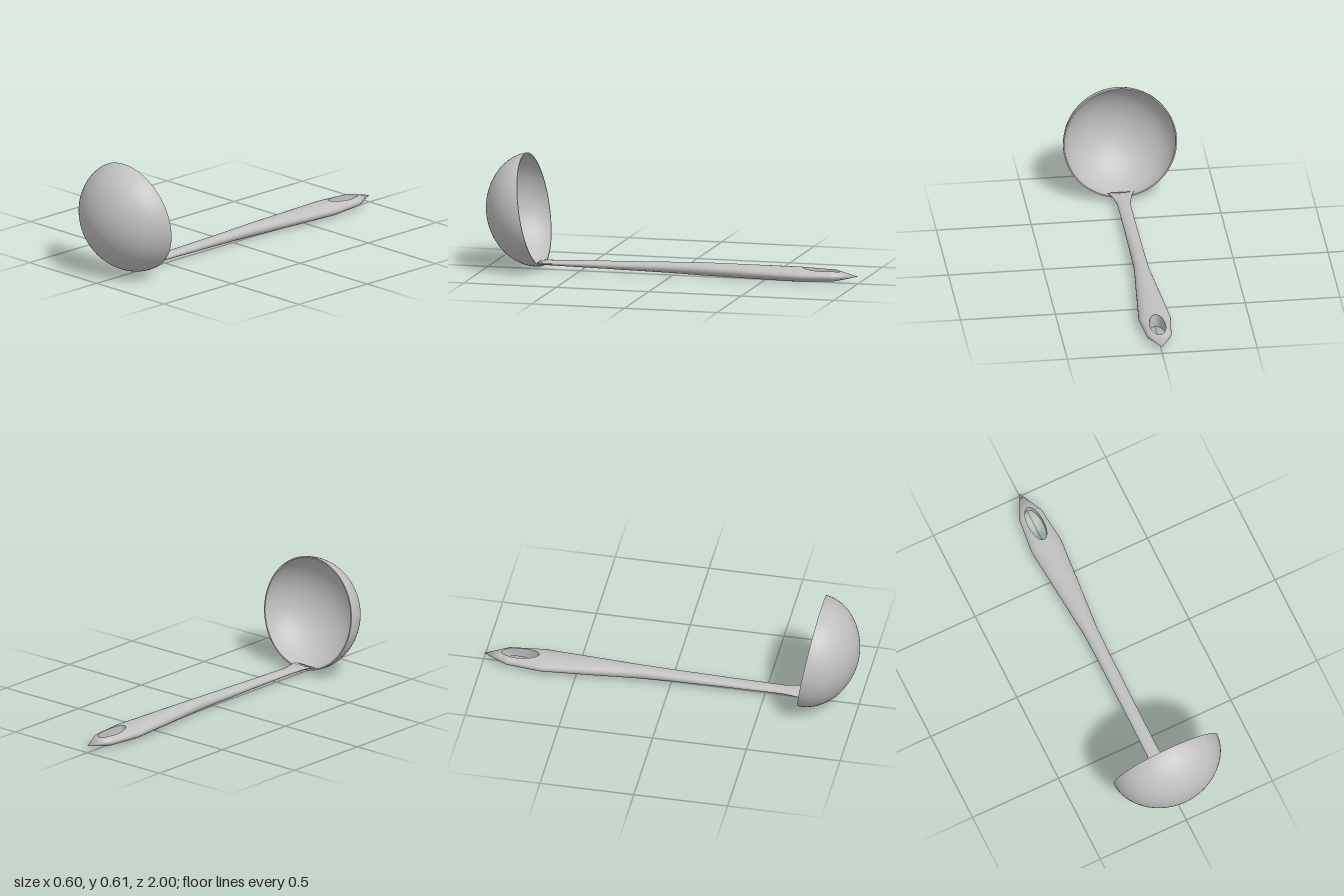
import * as THREE from 'three';
import { mergeVertices } from 'three/addons/utils/BufferGeometryUtils.js';

// Handle stations from bowl to tip: z, half width, centre height, half height, edge lift
const STATIONS = [
  [0.73, 0.07, 0.026, 0.007, 0.01],
  [0.69, 0.056, 0.037, 0.01, 0.004],
  [0.6, 0.035, 0.039, 0.015, 0],
  [0.3, 0.035, 0.041, 0.022, 0],
  [0, 0.037, 0.043, 0.029, 0],
  [-0.15, 0.04, 0.043, 0.034, 0],
  [-0.4, 0.062, 0.041, 0.036, 0],
  [-0.68, 0.085, 0.039, 0.037, 0],
  [-0.87, 0.065, 0.04, 0.031, 0],
  [-1, 0, 0.04, 0, 0],
];
const HOLE = { z: -0.805, rx: 0.042, rz: 0.1 };
const STEPS = 14;

function sectionAt(z) {
  let i = 0;
  while (i < STATIONS.length - 2 && z < STATIONS[i + 1][0]) i++;
  const a = STATIONS[i], b = STATIONS[i + 1];
  const t = (a[0] - z) / (a[0] - b[0]);
  return a.map((v, k) => v + (b[k] - v) * t);
}

function holeHalfWidth(z) {
  const t = (z - HOLE.z) / HOLE.rz;
  return Math.abs(t) >= 0.9999 ? 0 : HOLE.rx * Math.sqrt(1 - t * t);
}

function geometryFrom(positions, indices) {
  let g = new THREE.BufferGeometry();
  g.setAttribute('position', new THREE.Float32BufferAttribute(positions, 3));
  g.setIndex(indices);
  g = mergeVertices(g, 1e-5);
  g.computeVertexNormals();
  return g;
}

// Oval handle in two halves that part around the hanging hole
function handleGeometries() {
  const zs = STATIONS.map((s) => s[0]);
  for (let k = 0; k <= 24; k++) zs.push(HOLE.z + HOLE.rz * Math.cos((k / 24) * Math.PI));
  zs.sort((a, b) => b - a);
  const positions = [], skin = [], wall = [], end = [];
  const row = STEPS + 1, ring = 2 * row;

  zs.forEach((z) => {
    const [, hw, cy, h, lift] = sectionAt(z);
    const a0 = hw > 0 ? Math.asin(Math.min(1, holeHalfWidth(z) / hw)) : 0;
    for (let half = 0; half < 2; half++) {
      for (let j = 0; j <= STEPS; j++) {
        const phi = half * Math.PI + a0 + (Math.PI - 2 * a0) * (j / STEPS);
        const s = Math.sin(phi);
        positions.push(hw * s, cy + h * Math.cos(phi) + lift * s * s, z);
      }
    }
  });

  const quad = (list, a, b, c, d) => list.push(a, b, c, b, d, c);
  for (let i = 0; i < zs.length - 1; i++) {
    for (let half = 0; half < 2; half++) {
      const p = i * ring + half * row, q = p + ring;
      for (let j = 0; j < STEPS; j++) quad(skin, p + j, p + j + 1, q + j, q + j + 1);
      if (holeHalfWidth(zs[i]) + holeHalfWidth(zs[i + 1]) > 0) {
        quad(wall, p + STEPS, p, q + STEPS, q);
      }
    }
  }
  // Cap at the bowl end, as strips between the mirrored halves
  for (let j = 0; j < STEPS; j++) {
    const l = ring - 1 - j;
    quad(end, j, l, j + 1, l - 1);
  }
  return [skin, wall, end].map((list) => geometryFrom(positions, list));
}

// Half-ellipsoid bowl profile, from the pole to the rim
function bowlProfile(radius, depth) {
  const pts = [];
  for (let k = 0; k <= 28; k++) {
    const a = (k / 28) * (Math.PI / 2);
    pts.push(new THREE.Vector2(
      k === 0 ? 0 : radius * Math.pow(Math.sin(a), 1.04),
      k === 28 ? 0 : -depth * Math.pow(Math.cos(a), 1.04)));
  }
  return pts;
}

export function createModel() {
  const model = new THREE.Group();
  model.name = 'ladle';
  const steel = new THREE.MeshStandardMaterial({ color: 0xc0c0c0 });
  steel.name = 'steel grey';
  const add = (parent, name, geometry) => {
    const mesh = new THREE.Mesh(geometry, steel);
    mesh.name = name;
    parent.add(mesh);
  };

  // Bowl: outer shell, inner shell and the narrow rim between
  const bowl = new THREE.Group();
  bowl.name = 'bowl';
  const outer = bowlProfile(0.3, 0.249);
  const inner = bowlProfile(0.293, 0.242).reverse();
  add(bowl, 'bowlOutside', new THREE.LatheGeometry(outer, 72));
  add(bowl, 'bowlInside', new THREE.LatheGeometry(inner, 72));
  add(bowl, 'bowlRim', new THREE.LatheGeometry([outer[28], inner[0]], 72));
  bowl.position.set(0, 0.317, 0.75);
  bowl.rotation.x = -1.4;
  model.add(bowl);

  // Handle with hanging hole
  const handle = new THREE.Group();
  handle.name = 'handle';
  const names = ['handleBody', 'hangingHoleWall', 'handleEnd'];
  handleGeometries().forEach((g, i) => add(handle, names[i], g));
  model.add(handle);

  return model;
}
